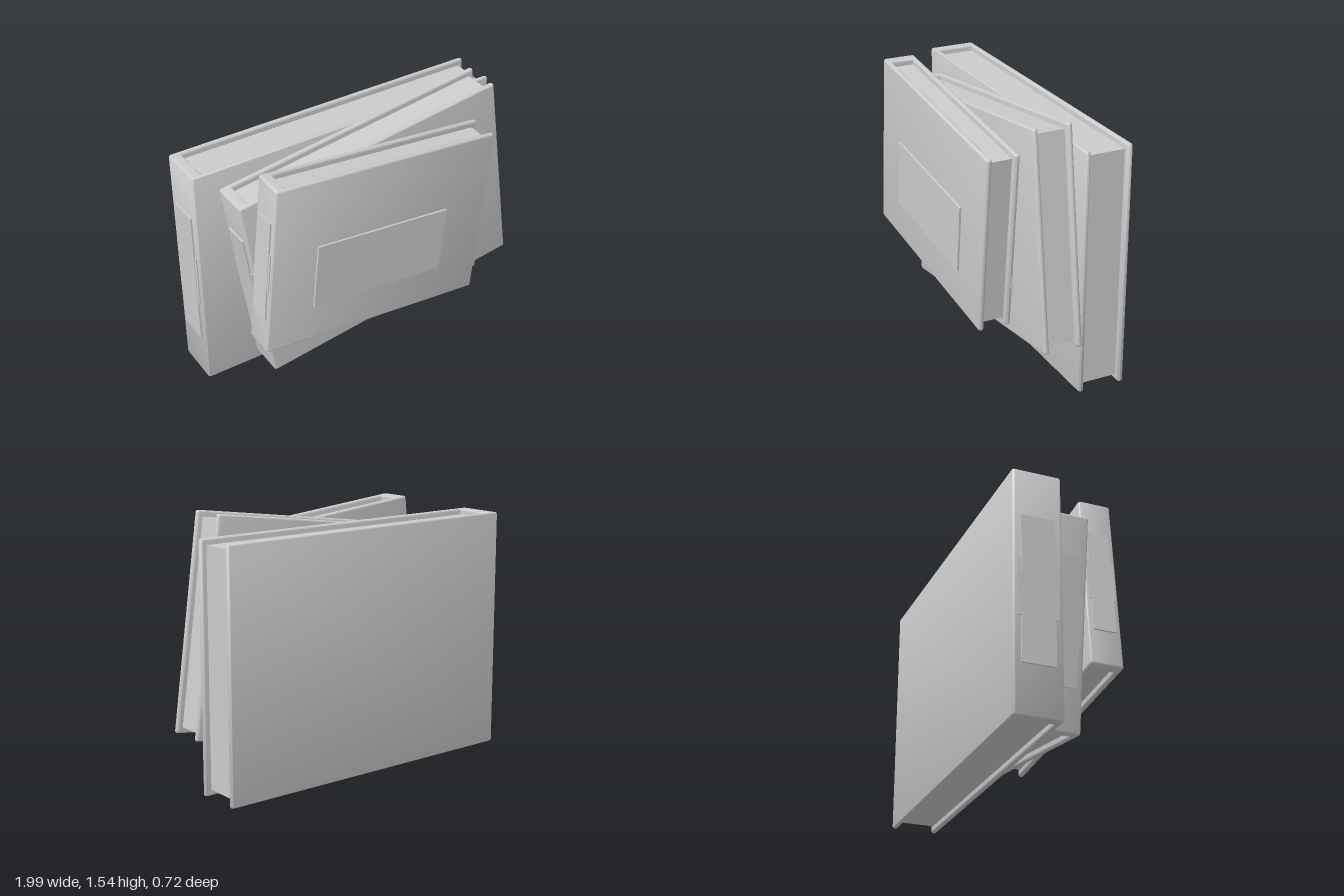
import * as THREE from 'three';
import { toCreasedNormals } from 'three/addons/utils/BufferGeometryUtils.js';

const COVER = 0.032, SPINE = 0.066, INSET = 0.035, BEVEL = 0.012;

const grey = new THREE.MeshStandardMaterial({ color: 0xcccccc });
grey.name = 'plainGrey';

function add(group, name, geometry, x = 0, y = 0, z = 0) {
  const mesh = new THREE.Mesh(geometry, grey);
  mesh.name = name;
  mesh.position.set(x, y, z);
  group.add(mesh);
}

// U-shaped case: two boards joined by a spine, with rounded edges
function caseGeometry(w, h, t) {
  const x = w / 2, z = t / 2, r = COVER / 2, c = 0.016;
  const s = new THREE.Shape();
  s.moveTo(-x + c, -z);
  s.lineTo(x - r, -z);
  s.absarc(x - r, -z + r, r, -Math.PI / 2, Math.PI / 2, false);
  s.lineTo(-x + SPINE, -z + COVER);
  s.lineTo(-x + SPINE, z - COVER);
  s.lineTo(x - r, z - COVER);
  s.absarc(x - r, z - r, r, -Math.PI / 2, Math.PI / 2, false);
  s.lineTo(-x + c, z);
  s.absarc(-x + c, z - c, c, Math.PI / 2, Math.PI, false);
  s.lineTo(-x, -z + c);
  s.absarc(-x + c, -z + c, c, Math.PI, Math.PI * 1.5, false);
  const g = new THREE.ExtrudeGeometry(s, {
    depth: h - 2 * BEVEL, curveSegments: 8,
    bevelEnabled: true, bevelThickness: BEVEL, bevelSize: BEVEL,
    bevelOffset: -BEVEL, bevelSegments: 4,
  });
  g.translate(0, 0, -(h - 2 * BEVEL) / 2);
  g.rotateX(-Math.PI / 2);
  return toCreasedNormals(g, 0.7);
}

function makeBook(name, w, h, t) {
  const book = new THREE.Group();
  book.name = name;
  add(book, 'coverAndSpine', caseGeometry(w, h, t));
  // page block, recessed on the three open sides
  add(book, 'pages',
    new THREE.BoxGeometry(w - SPINE - INSET + 0.004, h - 2 * INSET, t - 2 * COVER + 0.004),
    (SPINE - INSET) / 2 - 0.002);
  // plate on the front board
  add(book, 'coverLabel', new THREE.BoxGeometry(w * 0.603, h * 0.378, 0.012),
    0, -h * 0.088, t / 2 + 0.006);
  // long plate on the spine, over a shorter and wider one
  add(book, 'spineLabel', new THREE.BoxGeometry(0.01, h * 0.6, t * 0.68), -w / 2 - 0.004);
  add(book, 'spineBand', new THREE.BoxGeometry(0.01, h * 0.23, t * 0.82), -w / 2 - 0.001);
  return book;
}

export function createModel() {
  const model = new THREE.Group();
  model.name = 'leaningBooks';
  // name, width, height, thickness, centre, tilt in degrees
  const books = [
    ['backBook', 1.955, 1.425, 0.283, [-0.0135, 0.7125, -0.2185], 0],
    ['middleBook', 1.681, 1.242, 0.232, [0.076, 0.811, 0.041], 7.9],
    ['frontBook', 1.416, 1.063, 0.195, [-0.066, 0.896, 0.2525], -5.6],
  ];
  for (const [name, w, h, t, centre, tilt] of books) {
    const book = makeBook(name, w, h, t);
    book.position.set(...centre);
    book.rotation.z = THREE.MathUtils.degToRad(tilt);
    model.add(book);
  }
  return model;
}
